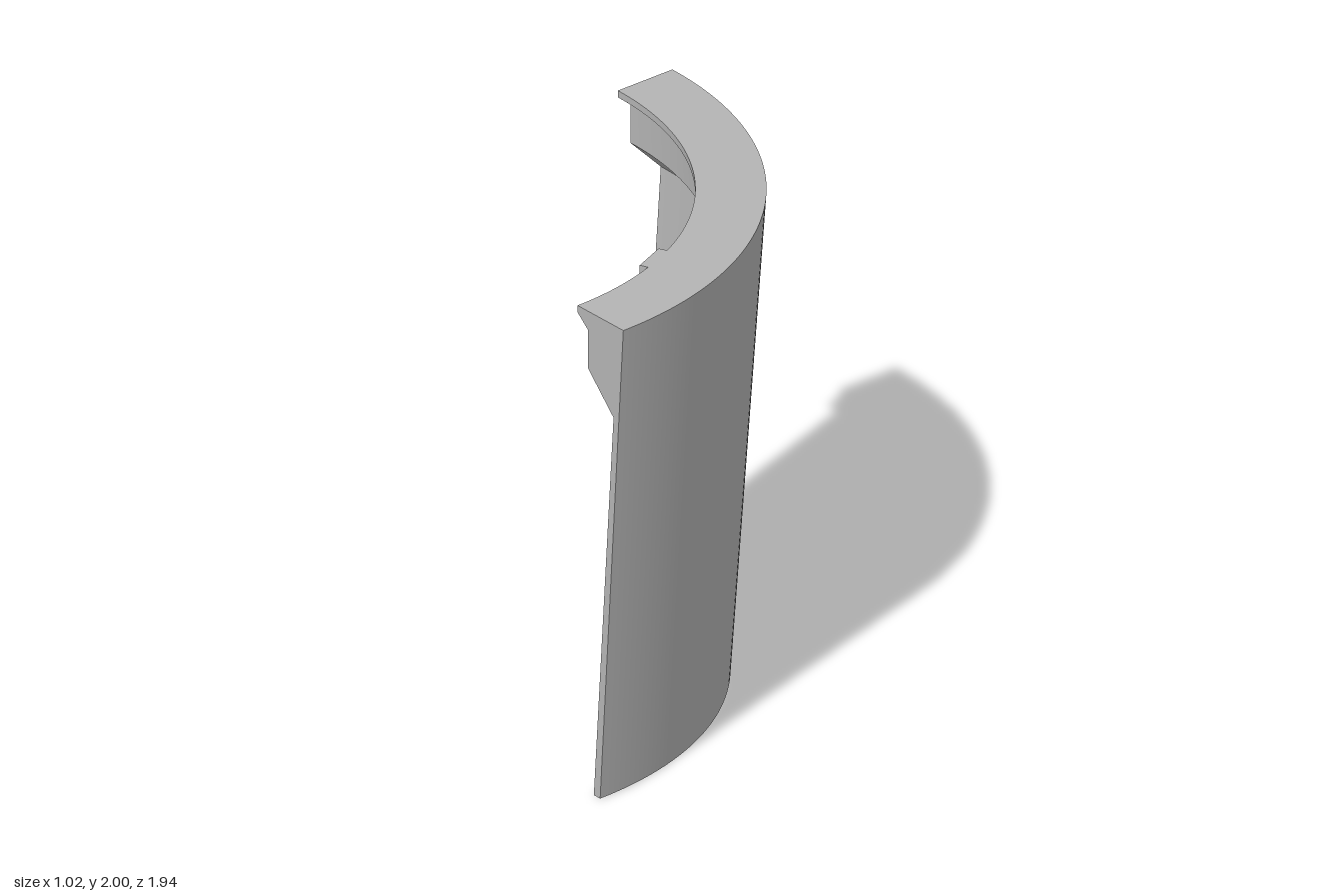
import * as THREE from 'three';
import { toCreasedNormals } from 'three/addons/utils/BufferGeometryUtils.js';

// Axis of the curved wall, and the quarter turn it covers
const AXIS = { x: -0.978, z: -0.4025 };
const PHI_START = Math.PI / 8;
const PHI_LENGTH = Math.PI / 2;

// Wall cross-section as [radius, height], anticlockwise from the outer foot
const PROFILE = [
  [1.35, 0], [1.483, 2],                  // tapered outer face
  [1.22, 2], [1.22, 1.972],               // lip
  [1.28, 1.922], [1.28, 1.763],           // recessed band
  [1.427, 1.615], [1.314, 0],             // haunch and thin inner wall
].map(([r, y]) => new THREE.Vector2(r, y));

export function createModel() {
  const model = new THREE.Group();
  model.name = 'curvedShellSegment';
  const grey = new THREE.MeshStandardMaterial({ color: 0xb4b4b4 });
  grey.name = 'plain grey';

  const segment = new THREE.Group();
  segment.name = 'segment';
  segment.position.set(AXIS.x, 0, AXIS.z);
  model.add(segment);

  const add = (name, geometry, angle = 0) => {
    const mesh = new THREE.Mesh(geometry, grey);
    mesh.name = name;
    mesh.rotation.y = angle;
    segment.add(mesh);
    return mesh;
  };

  // Tapered wall swept round the axis, with sharp profile edges
  const wall = new THREE.LatheGeometry([...PROFILE, PROFILE[0].clone()], 64, PHI_START, PHI_LENGTH);
  add('wall', toCreasedNormals(wall, 0.4));

  // Flat faces closing both ends; the second is mirrored to face outward
  const mirrored = PROFILE.map((p) => new THREE.Vector2(-p.x, p.y)).reverse();
  add('startFace', new THREE.ShapeGeometry(new THREE.Shape(PROFILE)), PHI_START - Math.PI / 2);
  add('endFace', new THREE.ShapeGeometry(new THREE.Shape(mirrored)), PHI_START + PHI_LENGTH + Math.PI / 2);

  // Small locating tab on the inside of the lip
  const tab = new THREE.BoxGeometry(0.07, 0.045, 0.152);
  tab.translate(1.218, 1.9775, 0);
  add('locatingTab', tab, -Math.PI / 4);

  return model;
}
